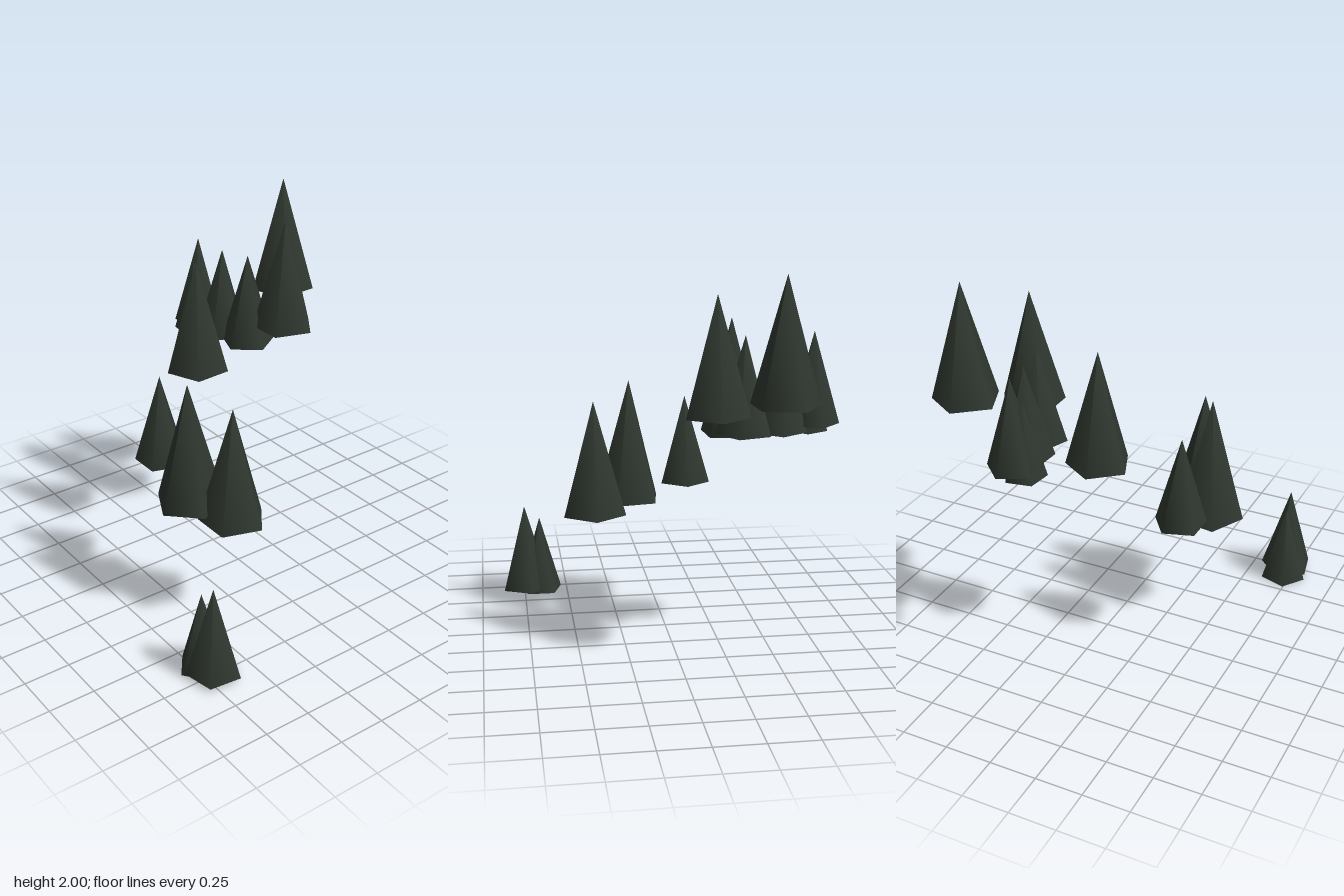
import * as THREE from 'three';

// x, z, base height, tip height, radius, turn in degrees
const TREES = [
  [-0.495, -0.675, 1.36, 2.0, 0.183, 58],
  [-0.197, -0.46, 1.27, 1.885, 0.175, 36.5],
  [-0.36, 0.015, 1.08, 1.705, 0.174, 58],
  [-0.165, 0.39, 0.72, 1.215, 0.144, 36],
  [0.148, 0.426, 0.617, 1.305, 0.188, 9.5],
  [0.36, 0.297, 0.57, 1.215, 0.183, 36],
  [0.743, 0.695, 0.02, 0.515, 0.147, 47.5],
  [0.655, 0.706, 0, 0.44, 0.129, 0],
  [-0.74, -0.262, 1.18, 1.665, 0.14, 46],
  [-0.717, -0.214, 1.135, 1.545, 0.115, 29],
  [-0.555, -0.296, 1.15, 1.645, 0.146, 32.5],
  [-0.365, -0.332, 1.15, 1.66, 0.152, 16],
];

export function createModel() {
  const group = new THREE.Group();
  group.name = 'hillsideTrees';
  const needles = new THREE.MeshStandardMaterial({ color: 0x303830 });
  needles.name = 'darkPineGreen';

  // Five-sided closed cones with smooth sides, stepping down the slope
  TREES.forEach(([x, z, base, tip, radius, turn], i) => {
    const height = tip - base;
    const tree = new THREE.Mesh(new THREE.ConeGeometry(radius, height, 5), needles);
    tree.name = `pineTree${i + 1}`;
    tree.position.set(x, base + height / 2, z);
    tree.rotation.y = THREE.MathUtils.degToRad(turn);
    group.add(tree);
  });
  return group;
}
